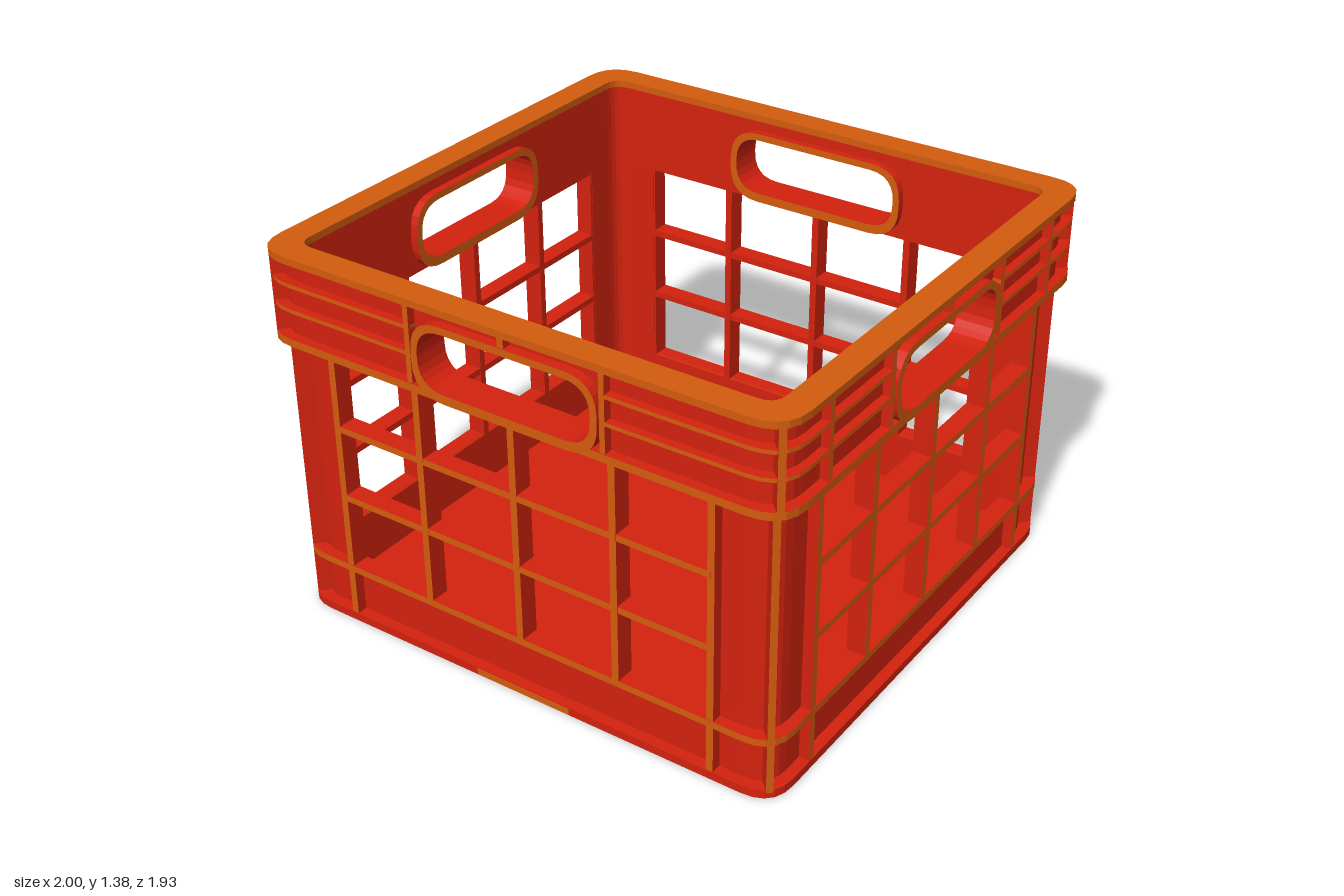
import * as THREE from 'three';

const red = new THREE.MeshStandardMaterial({ color: 0xd4220e });
red.name = 'red plastic';
const orange = new THREE.MeshStandardMaterial({ color: 0xd45c0e });
orange.name = 'orange plastic';
// box faces: only the outward (+z) face is orange
const ribMats = [red, red, red, red, orange, red];

// rounded rectangle added to a Shape or Path
function roundRect(path, x0, y0, x1, y1, r) {
  path.moveTo(x0 + r, y0);
  path.lineTo(x1 - r, y0);
  path.quadraticCurveTo(x1, y0, x1, y0 + r);
  path.lineTo(x1, y1 - r);
  path.quadraticCurveTo(x1, y1, x1 - r, y1);
  path.lineTo(x0 + r, y1);
  path.quadraticCurveTo(x0, y1, x0, y1 - r);
  path.lineTo(x0, y0 + r);
  path.quadraticCurveTo(x0, y0, x0 + r, y0);
  return path;
}

function addMesh(group, name, geometry, material) {
  const m = new THREE.Mesh(geometry, material);
  m.name = name;
  group.add(m);
  return m;
}

// plan outline raised from y0 to y1
function raise(group, name, shape, y0, y1, capMat, sideMat) {
  const g = new THREE.ExtrudeGeometry(shape, { depth: y1 - y0, bevelEnabled: false, curveSegments: 5 });
  g.rotateX(-Math.PI / 2).translate(0, y0, 0);
  return addMesh(group, name, g, [capMat, sideMat]);
}

// closed ring in plan, sizes are half extents
function ring(ox, oz, r, ix, iz) {
  const s = roundRect(new THREE.Shape(), -ox, -oz, ox, oz, r);
  s.holes.push(roundRect(new THREE.Path(), -ix, -iz, ix, iz, 0.06));
  return s;
}

// L-shaped rounded corner in plan, arms ending at cx and cz
function corner(sx, sz, cx, cz, ox, oz, r, ix, iz) {
  const s = new THREE.Shape(), q = 0.06;
  s.moveTo(sx * cx, sz * oz);
  s.lineTo(sx * (ox - r), sz * oz);
  s.quadraticCurveTo(sx * ox, sz * oz, sx * ox, sz * (oz - r));
  s.lineTo(sx * ox, sz * cz);
  s.lineTo(sx * ix, sz * cz);
  s.lineTo(sx * ix, sz * (iz - q));
  s.quadraticCurveTo(sx * ix, sz * iz, sx * (ix - q), sz * iz);
  s.lineTo(sx * cx, sz * iz);
  s.closePath();
  return s;
}

// rib box spanning x, y and z ranges
function rib(group, name, x0, x1, y0, y1, z0, z1) {
  const g = new THREE.BoxGeometry(x1 - x0, y1 - y0, z1 - z0);
  g.translate((x0 + x1) / 2, (y0 + y1) / 2, (z0 + z1) / 2);
  return addMesh(group, name, g, ribMats);
}

// one wall facing +z: d = inner face distance, step = outward offsets
function makeWall(name, half, d, body, band, rim, grip, barX, bandX) {
  const wall = new THREE.Group();
  wall.name = name;

  // upper panel with the handle opening
  const panel = new THREE.Shape();
  panel.moveTo(-half, 1.04);
  panel.lineTo(half, 1.04);
  panel.lineTo(half, 1.35);
  panel.lineTo(-half, 1.35);
  panel.closePath();
  panel.holes.push(roundRect(new THREE.Path(), -grip - 0.01, 1.068, grip + 0.01, 1.298, 0.1));
  const pg = new THREE.ExtrudeGeometry(panel, { depth: band - d, bevelEnabled: false, curveSegments: 6 });
  addMesh(wall, 'upperPanel', pg.translate(0, 0, d), red);

  // handle collar
  const collar = roundRect(new THREE.Shape(), -grip - 0.025, 1.045, grip + 0.025, 1.315, 0.12);
  collar.holes.push(roundRect(new THREE.Path(), -grip, 1.078, grip, 1.29, 0.1));
  const cg = new THREE.ExtrudeGeometry(collar, { depth: rim - d + 0.03, bevelEnabled: false, curveSegments: 6 });
  addMesh(wall, 'handleCollar', cg.translate(0, 0, d - 0.03), [orange, red]);

  // open lattice
  for (const x of [-barX, 0, barX]) {
    rib(wall, 'latticeUpright', x - 0.013, x + 0.013, 0.225, 1.05, d, body);
  }
  for (const y of [0.505, 0.773]) {
    rib(wall, 'latticeBar', -half, half, y - 0.012, y + 0.012, d + 0.001, body - 0.001);
  }
  // post edge ribs and upper band ribs
  for (const s of [-1, 1]) {
    const e = s * half;
    rib(wall, 'postEdgeRib', e - 0.013, e + 0.013, 0.02, 1.05, d + 0.002, body - 0.002);
    for (const x of bandX) {
      rib(wall, 'bandRib', s * x - 0.01, s * x + 0.01, 1.06, 1.355, band - 0.01, rim - 0.004);
    }
  }
  rib(wall, 'bandCentreRib', -0.012, 0.012, 1.3, 1.355, band - 0.01, rim - 0.004);
  return wall;
}

export function createModel() {
  const crate = new THREE.Group();
  crate.name = 'crate';
  const IX = 0.9, IZ = 0.865;

  // base plate and low surrounding wall
  raise(crate, 'basePlate', roundRect(new THREE.Shape(), -0.97, -0.935, 0.97, 0.935, 0.12), 0, 0.03, red, red);
  raise(crate, 'lowerWall', ring(0.93, 0.895, 0.1, IX, IZ), 0.03, 0.228, red, red);
  raise(crate, 'sillRing', ring(0.97, 0.935, 0.12, 0.91, 0.875), 0.205, 0.23, red, orange);

  // band rings and top rim
  raise(crate, 'bandLowerRing', ring(1, 0.965, 0.13, 0.91, 0.875), 1.05, 1.078, red, orange);
  raise(crate, 'topRim', ring(1, 0.965, 0.13, IX, IZ), 1.35, 1.375, orange, orange);

  // corners: posts, band and ribs
  for (const sx of [-1, 1]) {
    for (const sz of [-1, 1]) {
      raise(crate, 'cornerPost', corner(sx, sz, 0.73, 0.7, 0.93, 0.895, 0.1, IX, IZ), 0.2, 1.05, red, red);
      raise(crate, 'cornerBand', corner(sx, sz, 0.73, 0.7, 0.965, 0.93, 0.12, IX, IZ), 1.04, 1.35, red, red);
      for (const y of [1.18, 1.272]) {
        raise(crate, 'bandThinRing', corner(sx, sz, 0.36, 0.34, 0.995, 0.96, 0.13, 0.91, 0.875),
          y - 0.007, y + 0.007, red, orange);
      }
      for (const [y0, y1, out] of [[0.02, 1.05, 0], [1.06, 1.355, 0.027]]) {
        const r = rib(crate, 'cornerRib', -0.012, 0.012, y0, y1, -0.03, 0.03);
        r.position.set(sx * (0.918 + out), 0, sz * (0.883 + out));
        r.rotation.y = Math.atan2(sx, sz);
      }
    }
  }

  // four walls
  const bandX = [0.37], bandXSide = [0.355, 0.71];
  for (const s of [0, 1]) {
    const front = makeWall(s ? 'backWall' : 'frontWall', 0.735, IZ, 0.935, 0.93, 0.965, 0.33, 0.38, bandX);
    front.rotation.y = s * Math.PI;
    const side = makeWall(s ? 'rightWall' : 'leftWall', 0.705, IX, 0.97, 0.965, 1, 0.31, 0.375, bandXSide);
    side.rotation.y = s ? -Math.PI / 2 : Math.PI / 2;
    crate.add(front, side);

    // tinted strip at the foot of front and back
    const strip = new THREE.BoxGeometry(0.38, 0.024, 0.004).translate(0, 0.014, 0.935);
    addMesh(front, 'footStrip', strip, orange);
  }
  return crate;
}
